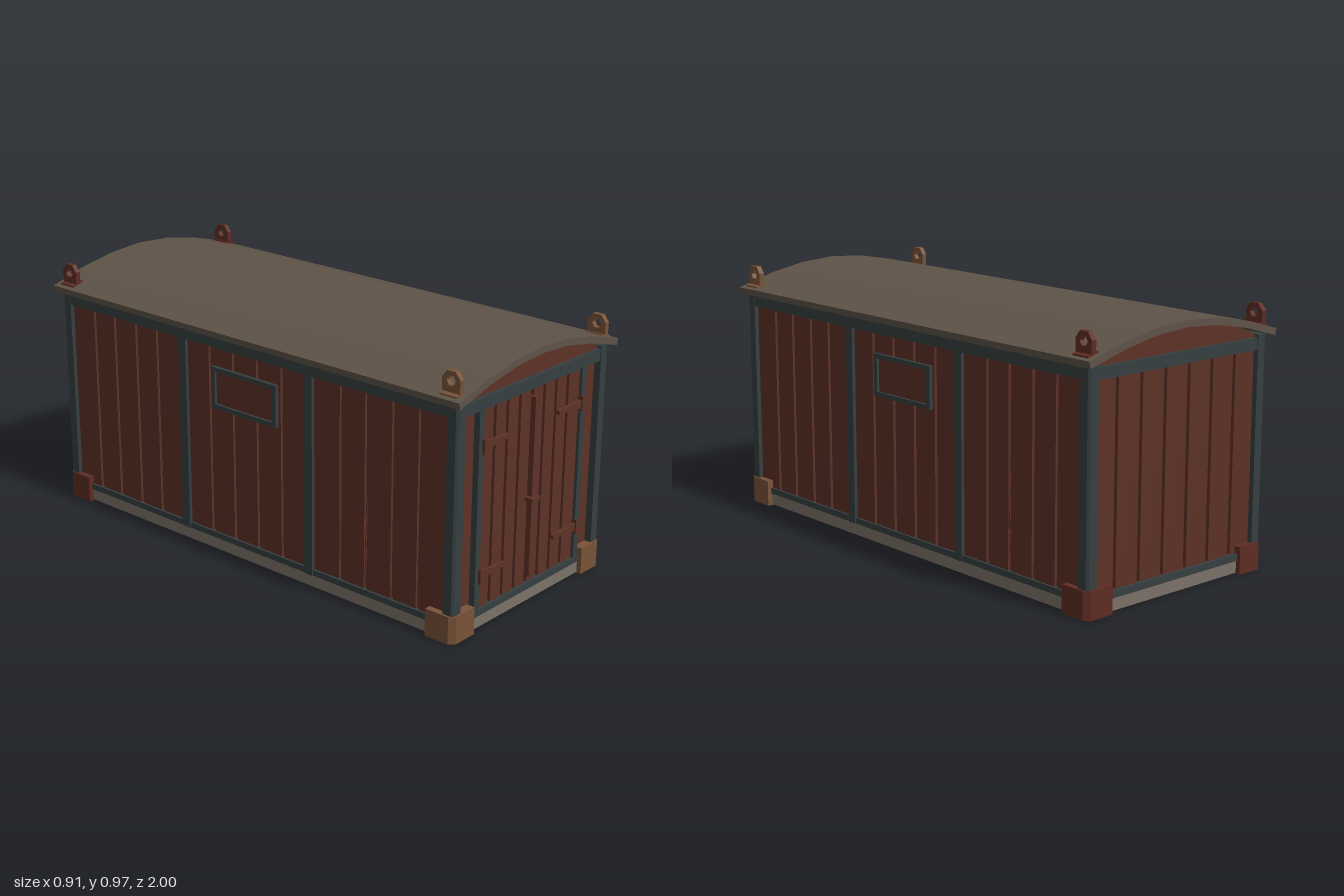
import * as THREE from 'three';
import { toCreasedNormals } from 'three/addons/utils/BufferGeometryUtils.js';

const material = (name, color, side = THREE.FrontSide) => {
  const m = new THREE.MeshStandardMaterial({ color, side });
  m.name = name;
  return m;
};

export function createModel() {
  const model = new THREE.Group();
  model.name = 'storageContainer';
  const red = material('rust red', 0x5c3126);
  const frame = material('dark slate', 0x363f40);
  const roofGrey = material('roof brown grey', 0x5f5348);
  const stone = material('base grey', 0x7b7268);
  const tan = material('tan metal', 0x785338);
  const rust = material('dark rust metal', 0x5e2c22);

  const add = (parent, name, geometry, mat) => {
    const mesh = new THREE.Mesh(geometry, mat);
    mesh.name = name;
    parent.add(mesh);
    return mesh;
  };
  // Box given by its limits on each axis
  const box = (parent, name, mat, x0, x1, y0, y1, z0, z1) => {
    const mesh = add(parent, name, new THREE.BoxGeometry(x1 - x0, y1 - y0, z1 - z0), mat);
    mesh.position.set((x0 + x1) / 2, (y0 + y1) / 2, (z0 + z1) / 2);
    return mesh;
  };
  const polygon = (points) => new THREE.Shape(points.map(([x, y]) => new THREE.Vector2(x, y)));
  const extrude = (shape, depth) => new THREE.ExtrudeGeometry(shape, { depth, bevelEnabled: false });
  // Vertical boards separated by narrow grooves
  const planks = (parent, name, x0, x1, grooves, y0, y1, z0, z1) => {
    const edges = [x0, ...grooves, x1];
    for (let i = 0; i < edges.length - 1; i++) {
      const a = edges[i] + (i > 0 ? 0.007 : 0);
      const b = edges[i + 1] - (i < edges.length - 2 ? 0.007 : 0);
      box(parent, name, red, a, b, y0, y1, z0, z1);
    }
  };
  const mirrored = (list) => [...list.map((v) => -v).reverse(), ...list];
  const wall = (name, angle) => {
    const g = new THREE.Group();
    g.name = name;
    g.rotation.y = angle;
    model.add(g);
    return g;
  };

  // Core and base
  box(model, 'wallCore', red, -0.405, 0.405, 0.05, 0.86, -0.945, 0.945);
  box(model, 'basePlinth', stone, -0.42, 0.42, 0.004, 0.052, -0.967, 0.967);

  // Curved roof
  const top = [[-0.457, 0.882], [-0.3, 0.926], [-0.15, 0.954], [0, 0.964], [0.15, 0.954], [0.3, 0.926], [0.457, 0.882]];
  const under = top.map(([x, y]) => [x * 0.988, y - 0.025]);
  const roofGeometry = extrude(polygon([...under, ...top.slice().reverse()]), 2);
  add(model, 'roof', toCreasedNormals(roofGeometry, 0.4), roofGrey).position.z = -1;

  // Gables beneath the roof at both ends
  const gable = polygon([[-0.41, 0.85], [0.41, 0.85], ...under.slice(1, -1).reverse().map(([x, y]) => [x, y + 0.003])]);
  add(model, 'gables', extrude(gable, 1.92), red).position.z = -0.96;

  // Long side walls, turned copies of each other
  for (const s of [1, -1]) {
    const g = wall(s > 0 ? 'leftWall' : 'rightWall', s * Math.PI / 2);
    planks(g, 'sidePlank', -0.94, 0.94, mirrored([0.06, 0.18, 0.32, 0.46, 0.575, 0.695, 0.81]), 0.06, 0.82, 0.4, 0.415);
    box(g, 'sideTopRail', frame, -0.94, 0.94, 0.81, 0.862, 0.4, 0.43);
    box(g, 'sideBottomRail', frame, -0.94, 0.94, 0.05, 0.073, 0.4, 0.424);
    for (const x of [-0.315, 0.315]) box(g, 'sidePost', frame, x - 0.019, x + 0.019, 0.05, 0.82, 0.4, 0.428);
    // Shuttered window with its frame
    box(g, 'windowShutter', red, -0.15, 0.15, 0.585, 0.725, 0.405, 0.42);
    const surround = polygon([[-0.162, 0.575], [0.162, 0.575], [0.162, 0.735], [-0.162, 0.735]]);
    surround.holes.push(polygon([[-0.143, 0.592], [-0.143, 0.718], [0.143, 0.718], [0.143, 0.592]]));
    add(g, 'windowFrame', extrude(surround, 0.02), frame).position.z = 0.41;
    // Splintered board edge
    const splinter = polygon([[0.572, 0.11], [0.584, 0.19], [0.579, 0.23], [0.583, 0.42], [0.575, 0.25], [0.579, 0.2]]);
    add(g, 'splinter', extrude(splinter, 0.004), red).position.z = 0.414;
  }

  // Frames shared by the two end walls
  const front = wall('frontWall', 0);
  const back = wall('backWall', Math.PI);
  for (const g of [front, back]) {
    box(g, 'endTopRail', frame, -0.4, 0.4, 0.808, 0.852, 0.94, 0.974);
    box(g, 'endBottomRail', frame, -0.4, 0.4, 0.05, 0.075, 0.94, 0.972);
  }
  planks(back, 'backPlank', -0.4, 0.4, mirrored([0.0575, 0.1725, 0.2875]), 0.07, 0.815, 0.94, 0.958);
  box(front, 'frontPanel', red, -0.4, 0.4, 0.07, 0.815, 0.94, 0.95);

  // Double doors with jambs
  planks(front, 'doorPlank', -0.282, 0.282, [-0.21, -0.14, -0.07, 0, 0.07, 0.14, 0.21], 0.075, 0.805, 0.945, 0.962);
  const strap = polygon([[0.145, -0.008], [0.215, -0.009], [0.28, -0.018], [0.28, 0.013], [0.215, 0.008], [0.145, 0.008]]);
  for (const s of [-1, 1]) {
    box(front, 'doorJamb', frame, s * 0.295 - 0.013, s * 0.295 + 0.013, 0.07, 0.81, 0.94, 0.973);
    for (const y of [0.677, 0.203]) {
      const hinge = new THREE.Group();
      hinge.name = 'doorHinge';
      hinge.position.y = y;
      hinge.rotation.z = s > 0 ? 0 : Math.PI;
      front.add(hinge);
      add(hinge, 'hingeStrap', extrude(strap, 0.018), red).position.z = 0.96;
      box(hinge, 'hingePlate', red, 0.277, 0.29, -0.028, 0.028, 0.955, 0.983);
    }
  }
  box(front, 'lockingRod', red, -0.007, 0.007, 0.105, 0.778, 0.955, 0.982);
  box(front, 'doorLatch', red, -0.024, 0.024, 0.396, 0.411, 0.965, 0.998);

  // Corner posts, corner shoes and lifting eyes
  const cornerGeometry = (x0, x1, z0, z1, chamfer, height) => {
    const plan = polygon([[x0, -z1], [x1 - chamfer, -z1], [x1, -z1 + chamfer], [x1, -z0], [x0, -z0]]);
    return extrude(plan, height).rotateX(-Math.PI / 2);
  };
  const eye = new THREE.Shape();
  [[-0.036, -0.045], [0.036, -0.045], [0.038, 0.008], [0.018, 0.034], [-0.018, 0.034], [-0.038, 0.008]]
    .forEach(([x, y], i) => (i ? eye.lineTo(x, y) : eye.moveTo(x, y)));
  eye.holes.push(new THREE.Path().absarc(0, 0.001, 0.019, 0, Math.PI * 2, true));
  const eyeGeometry = new THREE.ExtrudeGeometry(eye, { depth: 0.02, bevelEnabled: false, curveSegments: 3 })
    .translate(0, 0, -0.01).rotateY(Math.PI / 2);

  for (const sz of [1, -1]) {
    const metal = sz > 0 ? tan : rust;
    for (const sx of [1, -1]) {
      // A quarter turn keeps corner shapes unmirrored
      const corner = new THREE.Group();
      corner.name = (sz > 0 ? 'front' : 'back') + (sx > 0 ? 'Left' : 'Right') + 'Corner';
      corner.position.set(sx * 0.44, 0, sz * 0.985);
      corner.rotation.y = sz > 0 ? (sx > 0 ? 0 : -Math.PI / 2) : (sx > 0 ? Math.PI / 2 : Math.PI);
      model.add(corner);
      add(corner, 'cornerPost', cornerGeometry(-0.051, -0.008, -0.051, -0.008, 0.008, 0.812), frame).position.y = 0.05;
      add(corner, 'cornerShoe', cornerGeometry(-0.12, 0, -0.12, 0, 0.02, 0.103), metal);

      const lift = new THREE.Group();
      lift.name = 'liftingEye';
      lift.position.set(sx * 0.415, 0.936, sz * 0.94);
      model.add(lift);
      add(lift, 'eyeRing', eyeGeometry, metal);
      const plate = box(lift, 'eyePlate', metal, -0.025, 0.025, -0.048, -0.036, -0.036, 0.036);
      plate.rotation.z = -sx * 0.28;
    }
  }
  return model;
}
